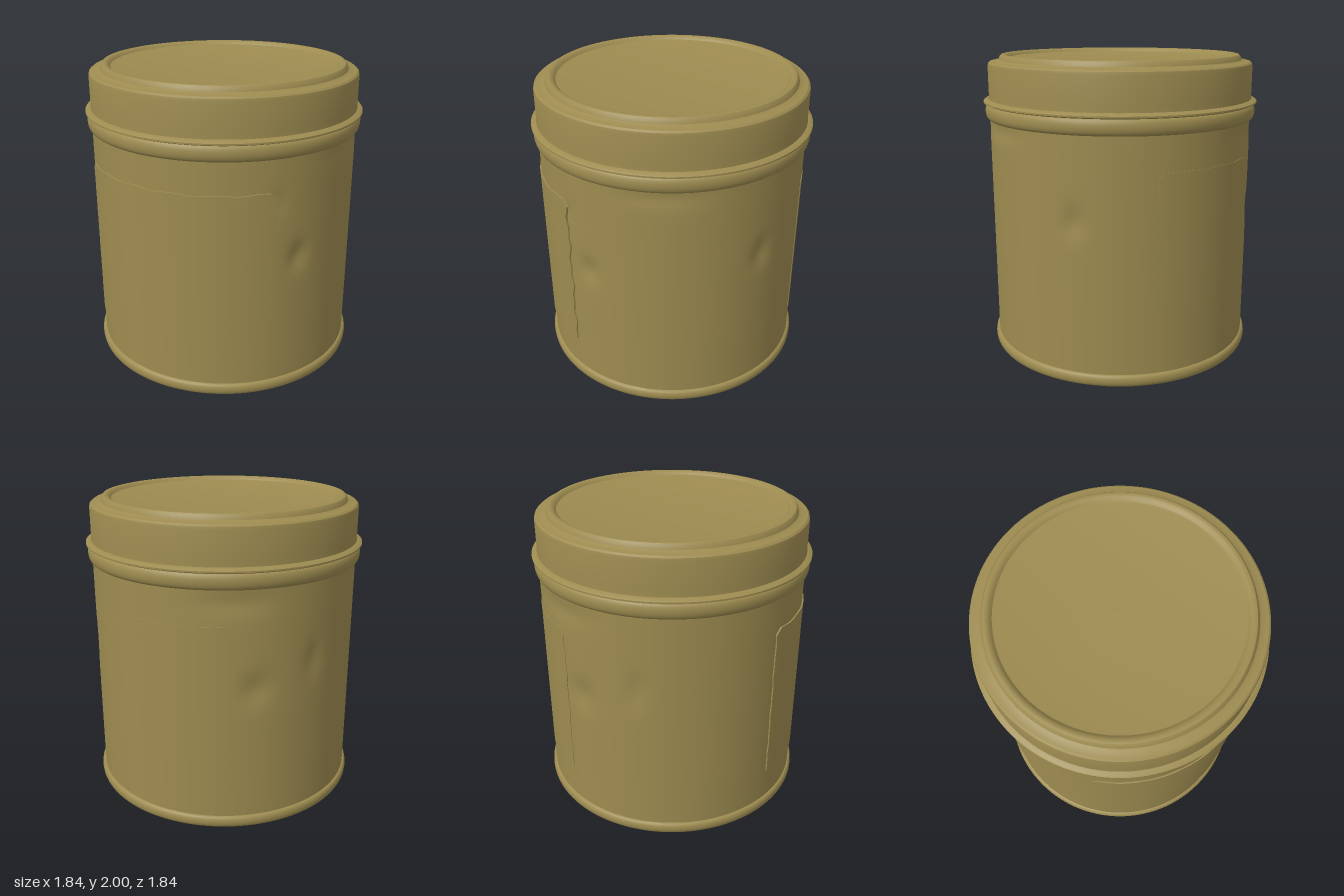
import * as THREE from 'three';
import { mergeVertices, toCreasedNormals } from 'three/addons/utils/BufferGeometryUtils.js';

const R = 0.883; // body radius

export function createModel() {
  const model = new THREE.Group();
  model.name = 'lidded tin';
  const brass = new THREE.MeshStandardMaterial({ color: 0x9d8b50 });
  brass.name = 'aged brass';

  const add = (name, geometry) => {
    const mesh = new THREE.Mesh(geometry, brass);
    mesh.name = name;
    model.add(mesh);
  };
  const turned = (name, profile) => {
    const points = profile.map(([r, y]) => new THREE.Vector2(r, y));
    add(name, toCreasedNormals(new THREE.LatheGeometry(points, 128), 0.6));
  };
  // A half-round bead between two heights
  const bead = (y0, y1, inner, outer) => {
    const points = [];
    for (let i = 0; i <= 10; i++) {
      const a = (i / 10 - 0.5) * Math.PI;
      points.push([inner + (outer - inner) * Math.cos(a) ** 0.6, (y0 + y1) / 2 + ((y1 - y0) / 2) * Math.sin(a)]);
    }
    return points;
  };

  // Base: slightly recessed bottom and rolled rim
  turned('baseRim', [[0, 0.02], [0.83, 0.02], [0.845, 0.002], ...bead(0, 0.08, 0.87, 0.906)]);

  // Dents: angle from the front toward +x, height, half-widths, depth
  const dents = [
    [0.97, 0.93, 0.07, 0.09, 0.022],
    [0.8, 1.3, 0.05, 0.09, 0.008],
    [2.28, 1.05, 0.07, 0.1, 0.02],
    [1.55, 1.54, 0.25, 0.06, 0.012],
    [-1.9, 1.08, 0.07, 0.12, 0.014],
    [-2.35, 0.95, 0.1, 0.1, 0.02],
    [-2.5, 1.5, 0.25, 0.07, 0.012],
  ];
  const wrap = (a) => Math.atan2(Math.sin(a), Math.cos(a));
  let body = new THREE.CylinderGeometry(R, R, 1.56, 160, 60, true).translate(0, 0.82, 0);
  body.deleteAttribute('uv');
  body.deleteAttribute('normal');
  body = mergeVertices(body);
  const p = body.attributes.position;
  for (let i = 0; i < p.count; i++) {
    const a = Math.atan2(p.getX(i), p.getZ(i));
    const y = p.getY(i);
    let r = R;
    for (const [da, dy, wa, wy, depth] of dents) {
      r -= depth * Math.exp(-((wrap(a - da) / wa) ** 2) - ((y - dy) / wy) ** 2);
    }
    p.setXYZ(i, r * Math.sin(a), y, r * Math.cos(a));
  }
  body.computeVertexNormals();
  add('body', body);

  // Thin curved labels with rounded corners; the border ring is tucked into the body
  const label = (name, a0, a1, y0, y1, lift, wear) => {
    const nu = 48, nv = 32, corner = 0.05;
    const g = new THREE.PlaneGeometry(1, 1, nu, nv);
    const pos = g.attributes.position;
    for (let j = 0; j <= nv; j++) {
      for (let i = 0; i <= nu; i++) {
        const border = i === 0 || j === 0 || i === nu || j === nv;
        // Border vertices share the place of their inner neighbours
        const u = (THREE.MathUtils.clamp(i, 1, nu - 1) - 1) / (nu - 2);
        const v = (THREE.MathUtils.clamp(j, 1, nv - 1) - 1) / (nv - 2);
        let y = y1 + (y0 - y1) * v;
        const toEnd = Math.min(y - y0, y1 - y);
        const inset = toEnd < corner ? corner - Math.sqrt(corner ** 2 - (corner - toEnd) ** 2) : 0;
        const ragged = wear * (Math.sin(y * 19) + Math.sin(y * 43 + 1));
        const left = a0 + inset - ragged * 0.3;
        const right = a1 - inset + ragged;
        const a = left + (right - left) * u;
        y += wear * 0.5 * Math.sin(a * 21) * (1 - v);
        const r = border ? R - 0.004 : R + lift;
        pos.setXYZ(j * (nu + 1) + i, r * Math.sin(a), y, r * Math.cos(a));
      }
    }
    add(name, toCreasedNormals(g, 0.6));
  };
  label('frontLabel', -0.85, 0.79, 0.26, 1.375, 0.009, 0.008);
  label('backLabel', Math.PI - 0.28, Math.PI + 0.63, 0.27, 1.36, 0.003, 0.004);

  // Rolled bead below the lid
  turned('neckBead', bead(1.58, 1.685, 0.87, 0.91));

  // Lid: thin flange, straight wall, stepped shoulder, raised ring, sunken panel
  turned('lid', [
    [0.87, 1.68], [0.905, 1.683], [0.92, 1.69], [0.92, 1.7], [0.905, 1.71], [0.886, 1.715],
    [0.884, 1.75], [0.884, 1.925], [0.88, 1.943], [0.868, 1.953], [0.825, 1.957],
    [0.812, 1.965], [0.805, 1.985], [0.795, 1.997], [0.782, 2], [0.765, 1.997],
    [0.752, 1.987], [0.742, 1.976], [0.72, 1.972], [0, 1.972],
  ]);
  return model;
}
